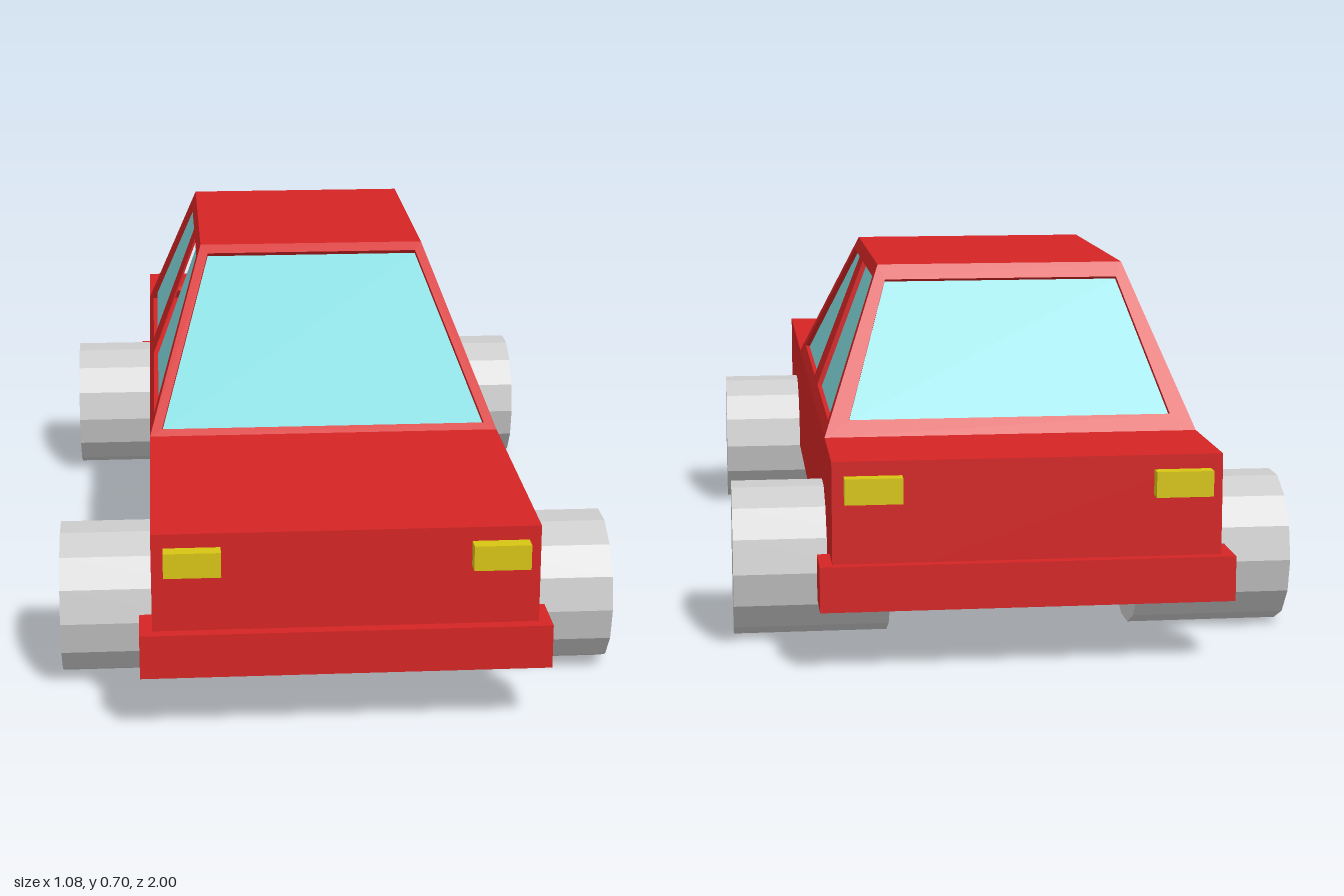
import * as THREE from 'three';

const mat = (color) => new THREE.MeshStandardMaterial({ color, flatShading: true });

export function createModel() {
  const car = new THREE.Group();
  car.name = 'car';
  const red = mat(0xd42424), glass = mat(0x80d8dc), yellow = mat(0xd8c414), grey = mat(0xcccccc);

  const add = (name, geometry, material) => {
    const mesh = new THREE.Mesh(geometry, material);
    mesh.name = name;
    car.add(mesh);
    return mesh;
  };
  // Box given by its lower and upper corners
  const box = (name, a, b, material) => add(name,
    new THREE.BoxGeometry(b[0] - a[0], b[1] - a[1], b[2] - a[2])
      .translate((a[0] + b[0]) / 2, (a[1] + b[1]) / 2, (a[2] + b[2]) / 2), material);

  // Lower body
  const beltY = 0.395, roofY = 0.705;
  const halfBase = 0.36, halfRoof = 0.243;
  const baseFront = 0.4, baseBack = -0.737, roofFront = 0.005, roofBack = -0.552;
  box('body', [-halfBase, 0.145, -0.973], [halfBase, beltY, 0.97], red);

  // Bumpers and lamps at both ends
  for (const s of [1, -1]) {
    const end = s > 0 ? 'front' : 'rear';
    const span = (p, q) => [Math.min(s * p, s * q), Math.max(s * p, s * q)];
    const [b0, b1] = span(0.89, 0.993), [l0, l1] = span(0.96, 1);
    box(end + 'Bumper', [-0.384, 0.12, b0], [0.384, 0.205, b1], red);
    for (const side of [1, -1]) {
      const x = side * 0.285;
      box(end + 'Lamp', [x - 0.053, 0.32, l0], [x + 0.053, 0.368, l1], yellow);
    }
  }

  // Sloped cabin panel with recessed windows; points are [horizontal, height]
  function panel(name, u, origin, rise, outline, windows) {
    const v = rise.clone().normalize();
    const n = new THREE.Vector3().crossVectors(u, v);
    const frame = new THREE.Matrix4().makeBasis(u, v, n).setPosition(origin);
    const flat = (pts) => pts.map(([h, y]) => new THREE.Vector2(h, (y - beltY) / v.y));
    const shape = new THREE.Shape(flat(outline));
    for (const w of windows) {
      shape.holes.push(new THREE.Path(flat(w)));
      add(name + 'Window', new THREE.ShapeGeometry(new THREE.Shape(flat(w)))
        .translate(0, 0, -0.01).applyMatrix4(frame), glass);
    }
    add(name + 'Frame', new THREE.ExtrudeGeometry(shape, { depth: 0.014, bevelEnabled: false })
      .translate(0, 0, -0.014).applyMatrix4(frame), red);
  }
  const V = (x, y, z) => new THREE.Vector3(x, y, z);
  const trapezoid = (bottom, top, y0, y1) => [[-bottom, y0], [bottom, y0], [top, y1], [-top, y1]];
  const endOutline = trapezoid(halfBase, halfRoof, beltY, roofY);
  const height = roofY - beltY;

  // Windscreen and rear window
  panel('windscreen', V(1, 0, 0), V(0, beltY, baseFront), V(0, height, roofFront - baseFront),
    endOutline, [trapezoid(0.335, 0.228, 0.406, 0.69)]);
  panel('rear', V(-1, 0, 0), V(0, beltY, baseBack), V(0, height, roofBack - baseBack),
    endOutline, [trapezoid(0.312, 0.23, 0.425, 0.677)]);

  // Cabin sides, points as [z, y]
  const sideOutline = [[baseFront, beltY], [baseBack, beltY], [roofBack, roofY], [roofFront, roofY]];
  const frontDoor = [[0.315, 0.42], [-0.135, 0.42], [-0.165, 0.68], [0, 0.68]];
  const rearDoor = [[-0.26, 0.42], [-0.687, 0.42], [-0.537, 0.68], [-0.26, 0.68]];
  for (const s of [1, -1]) {
    const turn = (pts) => pts.map(([z, y]) => [-s * z, y]);
    panel(s > 0 ? 'leftSide' : 'rightSide', V(0, 0, -s), V(s * halfBase, beltY, 0),
      V(s * (halfRoof - halfBase), height, 0), turn(sideOutline), [turn(frontDoor), turn(rearDoor)]);
  }

  // Roof
  box('roof', [-halfRoof, roofY - 0.01, roofBack], [halfRoof, roofY, roofFront], red);

  // Fourteen-sided wheels
  for (const z of [0.64, -0.648]) {
    for (const s of [1, -1]) {
      const wheel = add(z > 0 ? 'frontWheel' : 'rearWheel',
        new THREE.CylinderGeometry(0.149, 0.149, 0.298, 14).rotateZ(Math.PI / 2), grey);
      wheel.position.set(s * 0.389, 0.1455, z);
    }
  }
  return car;
}
